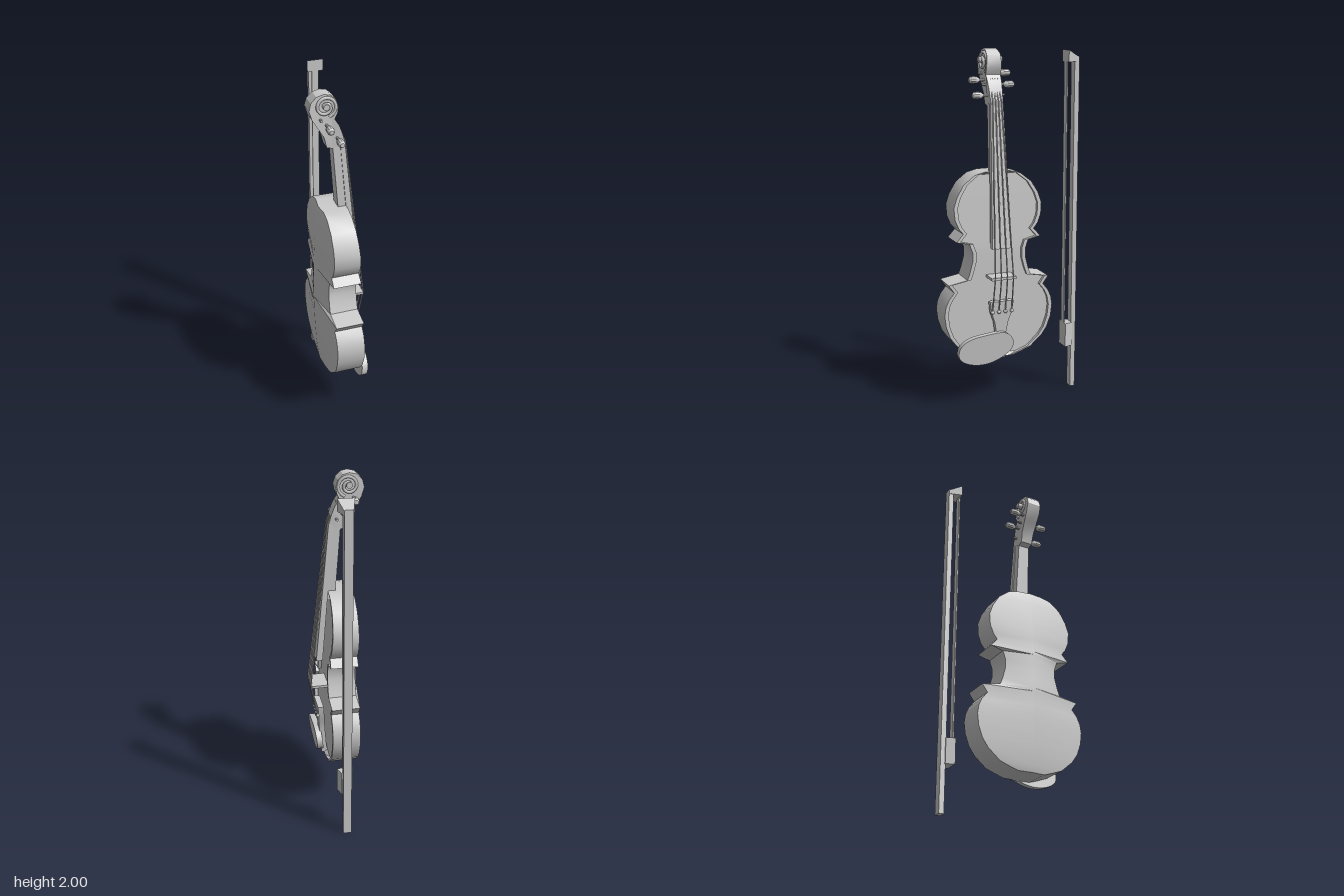
import * as THREE from 'three';
import { toCreasedNormals } from 'three/addons/utils/BufferGeometryUtils.js';

const MAT = new THREE.MeshStandardMaterial({ color: 0xcccccc, side: THREE.DoubleSide });
const CZ = 0.083; // centre plane of the violin, which faces +x

export function createModel() {
  const root = new THREE.Group();
  const violin = new THREE.Group();
  violin.name = 'violin';
  violin.position.z = CZ;
  const bow = new THREE.Group();
  bow.name = 'bow';
  root.add(violin, bow);

  const add = (parent, name, geo, crease = 0.5) => {
    const mesh = new THREE.Mesh(crease ? toCreasedNormals(geo, crease) : geo, MAT);
    mesh.name = name;
    parent.add(mesh);
    return mesh;
  };
  const toShape = (pts) => new THREE.Shape(pts.map(([a, b]) => new THREE.Vector2(a, b)));
  const box = (parent, name, min, max) => {
    const geo = new THREE.BoxGeometry(...max.map((v, i) => v - min[i]));
    geo.translate(...max.map((v, i) => (v + min[i]) / 2));
    return add(parent, name, geo, 0);
  };
  // Apply a rule to every vertex
  const warp = (geo, rule) => {
    const p = geo.attributes.position;
    const v = new THREE.Vector3();
    for (let i = 0; i < p.count; i++) {
      rule(v.fromBufferAttribute(p, i));
      p.setXYZ(i, v.x, v.y, v.z);
    }
    return geo;
  };
  // Side profile in (x, y), given a half width in z that may vary with height
  const sideSolid = (parent, name, pts, half) => {
    const geo = new THREE.ExtrudeGeometry(toShape(pts), { depth: 2, bevelEnabled: false });
    geo.translate(0, 0, -1);
    return add(parent, name, warp(geo, (v) => { v.z *= half(v.y); }));
  };
  // Face profile in (z, y), running from x = back to x = front
  const faceSolid = (parent, name, pts, back, front, rule = () => {}) => {
    const geo = new THREE.ExtrudeGeometry(toShape(pts), { depth: front - back, bevelEnabled: false });
    geo.rotateY(-Math.PI / 2).translate(front, 0, 0);
    return add(parent, name, warp(geo, rule));
  };
  const lerp = THREE.MathUtils.mapLinear;

  // Body: cross-sections from top to bottom, with a raised back ridge and a recessed belly
  const rows = [[0.075, 1.335], [0.135, 1.32], [0.2, 1.27], [0.24, 1.205], [0.26, 1.145], [0.255, 1.08],
    [0.235, 1.03], [0.21, 1.0], [0.25, 0.955], [0.175, 0.937], [0.158, 0.89], [0.158, 0.84], [0.175, 0.775],
    [0.19, 0.735], [0.3, 0.715], [0.268, 0.67], [0.3, 0.63], [0.318, 0.59], [0.326, 0.54], [0.318, 0.475],
    [0.295, 0.41], [0.26, 0.36], [0.19, 0.3], [0.13, 0.278], [0.08, 0.262]];
  const last = rows.length - 1;
  const pos = [];
  const sections = rows.map(([w, y], i) => {
    const front = y < 0.9 ? 0.07 : lerp(y, 0.9, 1.335, 0.07, 0.046);
    const floor = front - (i === 0 || i === last ? 0 : 0.02);
    const ridge = -0.092 - 0.038 * Math.sin(Math.PI * lerp(y, 0.25, 1.36, 0, 1)) ** 0.6;
    const inner = w - 0.022;
    return [[-0.09, -w], [ridge, 0], [-0.09, w], [front, w], [front, inner], [floor, inner],
      [floor, -inner], [front, -inner], [front, -w]].map(([x, z]) => [x, y, z]);
  });
  const n = sections[0].length;
  for (let i = 0; i < last; i++) {
    for (let j = 0; j < n; j++) {
      const k = (j + 1) % n;
      const [a, b, c, d] = [sections[i][j], sections[i][k], sections[i + 1][j], sections[i + 1][k]];
      pos.push(...a, ...c, ...d, ...a, ...d, ...b);
    }
  }
  for (let j = 1; j < n - 1; j++) {
    const [top, end] = [sections[0], sections[last]];
    pos.push(...top[0], ...top[j], ...top[j + 1], ...end[0], ...end[j + 1], ...end[j]);
  }
  const bodyGeo = new THREE.BufferGeometry();
  bodyGeo.setAttribute('position', new THREE.Float32BufferAttribute(pos, 3));
  add(violin, 'body', bodyGeo, 0.55);

  // Neck and fingerboard
  sideSolid(violin, 'neck', [[0.005, 1.28], [0.07, 1.28], [0.034, 1.72], [-0.027, 1.69]],
    (y) => lerp(y, 1.28, 1.72, 0.04, 0.033));
  sideSolid(violin, 'fingerboard', [[0.08, 0.91], [0.117, 0.91], [0.038, 1.72], [0.012, 1.72]],
    (y) => lerp(y, 0.91, 1.72, 0.058, 0.036));

  // Pegbox and scroll
  sideSolid(violin, 'head', [[-0.027, 1.69], [0.037, 1.72], [0.024, 1.77], [0.005, 1.82], [-0.02, 1.86],
    [-0.006, 1.89], [0, 1.925], [-0.012, 1.965], [-0.04, 1.992], [-0.075, 2], [-0.115, 1.99], [-0.145, 1.96],
    [-0.155, 1.92], [-0.14, 1.87], [-0.11, 1.82], [-0.075, 1.76], [-0.06, 1.7]],
  (y) => (y < 1.9 ? lerp(y, 1.69, 1.9, 0.034, 0.045) : lerp(y, 1.9, 2, 0.045, 0.036)));
  const spiral = [];
  for (let i = 0; i <= 24; i++) {
    const a = -1.2 + (i / 24) * Math.PI * 3;
    const r = lerp(i, 0, 24, 0.062, 0.018);
    spiral.push(new THREE.Vector3(-0.07 + r * Math.cos(a), 1.932 + r * Math.sin(a), lerp(i, 0, 24, 0.036, 0.05)));
  }
  for (const s of [-1, 1]) {
    const path = new THREE.CatmullRomCurve3(spiral.map((p) => new THREE.Vector3(p.x, p.y, p.z * s)));
    add(violin, 'scrollSpiral', new THREE.TubeGeometry(path, 60, 0.009, 6), 0);
  }
  const eye = add(violin, 'scrollEye', new THREE.CylinderGeometry(0.017, 0.017, 0.136, 12));
  eye.rotation.x = Math.PI / 2;
  eye.position.set(-0.07, 1.94, 0);

  // Tuning pegs, alternating sides
  const pegProfile = [[0, -0.06], [0.007, -0.06], [0.008, 0.065], [0.012, 0.07], [0.019, 0.08], [0.021, 0.1],
    [0.019, 0.118], [0.012, 0.127], [0, 0.128]].map(([r, y]) => new THREE.Vector2(r, y));
  for (const [x, y, s] of [[-0.095, 1.865, -1], [-0.062, 1.83, 1], [-0.035, 1.805, -1], [-0.005, 1.75, 1]]) {
    const peg = add(violin, 'tuningPeg', new THREE.LatheGeometry(pegProfile, 10));
    peg.rotation.x = s * Math.PI / 2;
    peg.position.set(x, y, 0);
  }

  // Bridge and tailpiece
  box(violin, 'bridge', [0.045, 0.738, -0.073], [0.146, 0.753, 0.073]);
  const tailHalf = [[0.07, 0.605], [0.062, 0.54], [0.04, 0.48], [0.03, 0.42], [0.026, 0.28]];
  faceSolid(violin, 'tailpiece', [...tailHalf, ...tailHalf.map(([z, y]) => [-z, y]).reverse()],
    0.078, 0.112, (v) => { v.x -= lerp(v.y, 0.605, 0.28, 0, 0.025); });
  box(violin, 'tailSaddle', [0.04, 0.262, -0.026], [0.085, 0.29, 0.026]);

  // Strings: pegbox, nut, bridge, tailpiece
  for (let i = 0; i < 4; i++) {
    const u = (i - 1.5) / 1.5;
    const pts = [[-0.01, 1.84, 0.02], [0.042, 1.72, 0.025], [0.15, 0.746, 0.054], [0.112, 0.545, 0.058]]
      .map(([x, y, z]) => new THREE.Vector3(x, y, z * u));
    const path = new THREE.CurvePath();
    for (let j = 0; j < 3; j++) path.add(new THREE.LineCurve3(pts[j], pts[j + 1]));
    add(violin, 'string', new THREE.TubeGeometry(path, 60, 0.004, 6), 0);
    const ball = add(violin, 'stringEnd', new THREE.SphereGeometry(0.011, 10, 8), 0);
    ball.position.copy(pts[3]);
  }

  // Chin rest, tilted slightly forward at the top
  const rest = new THREE.CatmullRomCurve3([[0.255, 0.35], [0.21, 0.395], [0.09, 0.42], [-0.02, 0.42],
    [-0.066, 0.37], [-0.055, 0.315], [0.03, 0.258], [0.12, 0.24], [0.21, 0.258], [0.255, 0.295]]
    .map(([z, y]) => new THREE.Vector3(z, y, 0)), true).getPoints(40).slice(0, -1);
  faceSolid(violin, 'chinRest', rest.map((p) => [p.x, p.y]), 0.072, 0.107,
    (v) => { v.x += lerp(v.y, 0.24, 0.42, 0, 0.018); });

  // Bow: stick, hair, and flared tip and frog
  box(bow, 'bowStick', [-0.005, 0, -0.41], [0.042, 1.955, -0.381]);
  box(bow, 'bowHair', [0, 0.38, -0.342], [0.038, 1.95, -0.335]);
  const flare = (v) => {
    const half = lerp(v.z, -0.41, -0.335, 0.0235, 0.045);
    v.x = 0.0195 + Math.sign(v.x) * half;
  };
  faceSolid(bow, 'bowTip', [[-0.41, 1.925], [-0.335, 1.925], [-0.335, 1.99], [-0.41, 1.95]], -1, 1, flare);
  faceSolid(bow, 'bowFrog', [[-0.385, 0.262], [-0.335, 0.262], [-0.335, 0.405], [-0.385, 0.405]], -1, 1, flare);

  return root;
}
